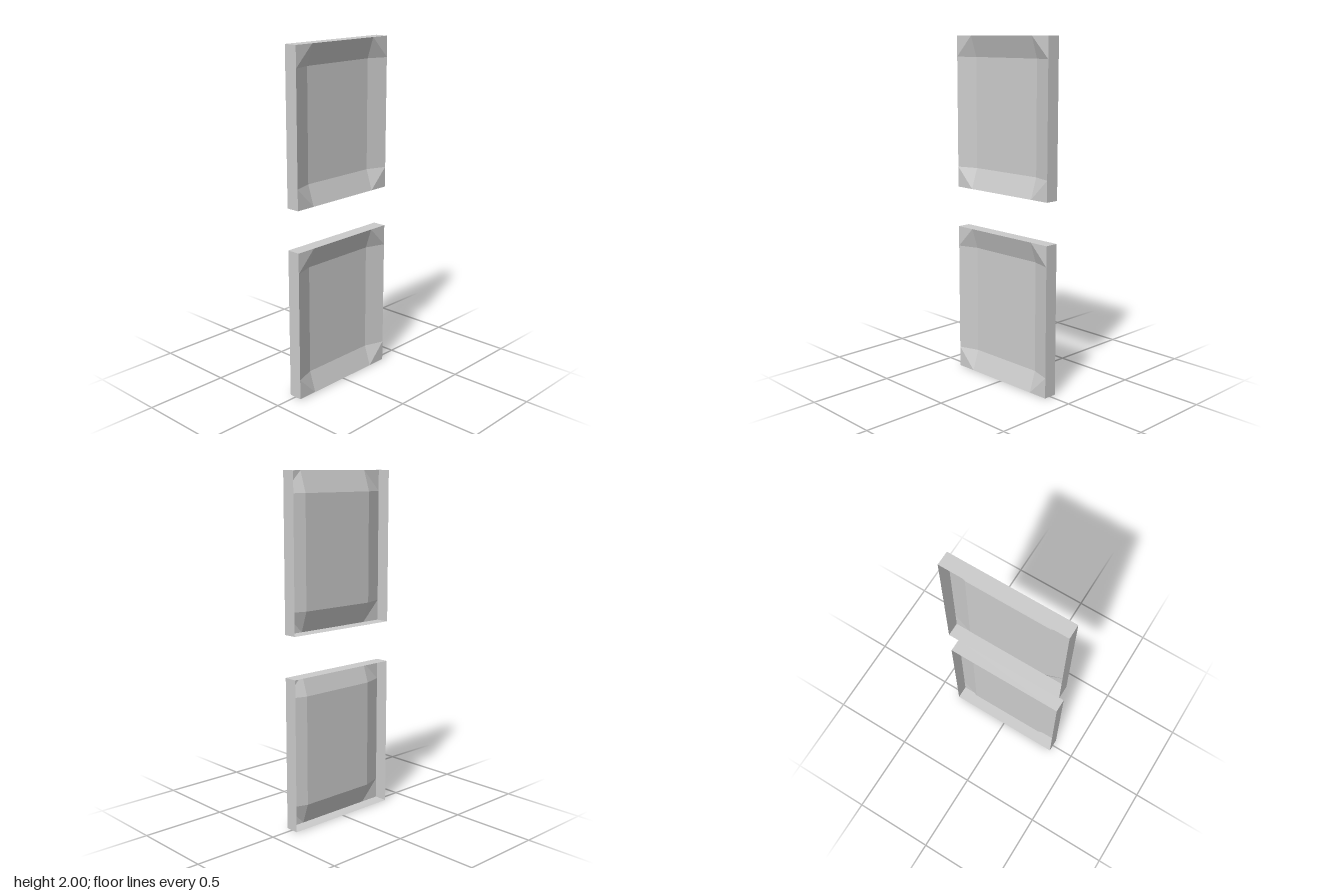
import * as THREE from 'three';

const W = 0.36, H = 0.44, Z = 0.04; // half sizes of one panel
const BEVEL = 0.12, FLOOR_Z = 0;    // width of the sloping border, level of the sunken field

// Thin flat-shaded surface from convex polygons, each split as a fan.
function surface(name, polygons, material) {
  const points = [];
  for (const p of polygons) {
    for (let i = 1; i < p.length - 1; i++) points.push(p[0], p[i], p[i + 1]);
  }
  const geometry = new THREE.BufferGeometry().setFromPoints(points);
  geometry.computeVertexNormals();
  const mesh = new THREE.Mesh(geometry, material);
  mesh.name = name;
  return mesh;
}

function createPanel(material) {
  const v = (x, y, z) => new THREE.Vector3(x, y, z);
  // Corners counter-clockwise, with the rim points on either side and the inner point.
  const corners = [[1, 1], [-1, 1], [-1, -1], [1, -1]].map(([sx, sy]) => {
    const alongX = v(sx * (W - BEVEL), sy * H, Z);
    const alongY = v(sx * W, sy * (H - BEVEL), Z);
    const arriveOnSide = sx * sy > 0;
    return {
      front: v(sx * W, sy * H, Z),
      back: v(sx * W, sy * H, -Z),
      before: arriveOnSide ? alongY : alongX,
      after: arriveOnSide ? alongX : alongY,
      inner: v(sx * (W - BEVEL), sy * (H - BEVEL), FLOOR_Z),
    };
  });

  const dish = [corners.map((c) => c.inner)];
  const walls = [];
  corners.forEach((c, i) => {
    const n = corners[(i + 1) % 4];
    dish.push([c.before, c.front, c.after]);           // flat corner
    dish.push([c.before, c.after, c.inner]);           // corner slope
    dish.push([c.after, n.before, n.inner, c.inner]);  // border slope
    walls.push([c.front, c.back, n.back, n.front]);    // side, open at the back
  });

  const panel = new THREE.Group();
  panel.add(surface('sunkenFace', dish, material), surface('sideWalls', walls, material));
  return panel;
}

export function createModel() {
  const model = new THREE.Group();
  model.name = 'panelPair';
  const material = new THREE.MeshStandardMaterial({
    color: 0xcccccc, flatShading: true, side: THREE.DoubleSide,
  });
  for (const [name, y] of [['lowerPanel', H], ['upperPanel', 2 - H]]) {
    const panel = createPanel(material);
    panel.name = name;
    panel.position.y = y;
    model.add(panel);
  }
  return model;
}
